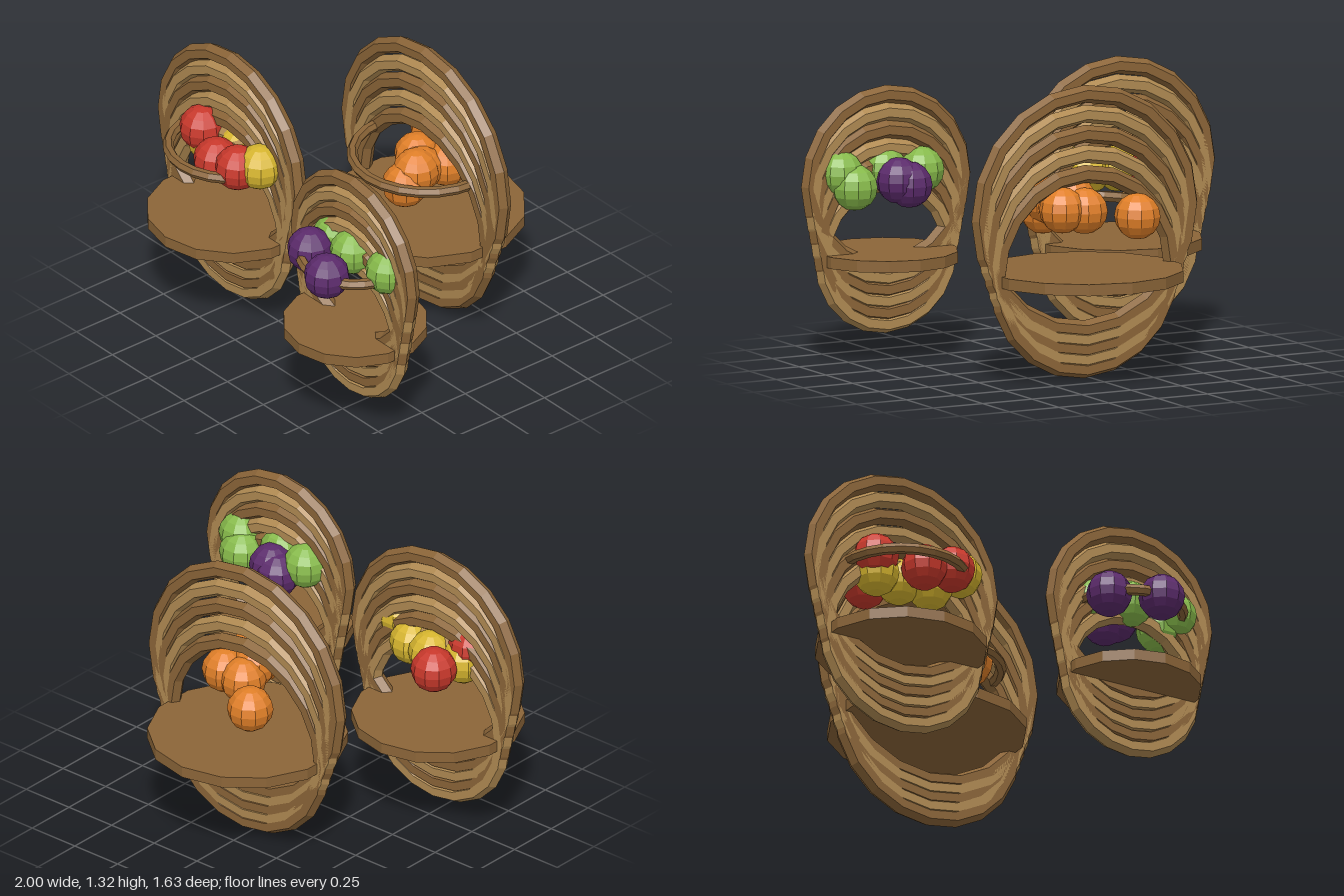
import * as THREE from 'three';

const mat = (name, color) => {
  const m = new THREE.MeshStandardMaterial({ color, flatShading: true });
  m.name = name;
  return m;
};

export function createModel() {
  const darkWicker = mat('dark wicker', 0x8b6538);
  const lightWicker = mat('light wicker', 0xb08a52);
  const red = mat('red fruit', 0xc8382b);
  const yellow = mat('yellow fruit', 0xd6b52e);
  const orange = mat('orange fruit', 0xe07f28);
  const purple = mat('purple fruit', 0x5b2a6b);
  const green = mat('green fruit', 0x86b94a);

  const model = new THREE.Group();
  model.name = 'fruitBaskets';
  const fruitGeometry = new THREE.SphereGeometry(0.104, 10, 8);

  function add(parent, name, geometry, material, x, y, z) {
    const mesh = new THREE.Mesh(geometry, material);
    mesh.name = name;
    mesh.position.set(x, y, z);
    parent.add(mesh);
    return mesh;
  }

  // One basket: disc base, upright hoops that grow as they rise, flat half-ring handle
  function basket({ name, x, z, base, rim, rimY, hoops, fruit }) {
    const group = new THREE.Group();
    group.name = name;
    model.add(group);

    add(group, 'base', new THREE.CylinderGeometry(base * 1.015, base * 1.015, 0.052, 14), darkWicker, x, 0.472, z);

    for (let i = 0; i < hoops; i++) {
      const t = i / (hoops - 1);
      const radius = THREE.MathUtils.lerp(base, rim, t);
      const y = THREE.MathUtils.lerp(0.482, rimY, t);
      const material = (hoops - 1 - i) % 2 ? lightWicker : darkWicker;
      add(group, 'hoop', new THREE.TorusGeometry(radius, 0.04, 6, 20), material, x, y, z);
    }

    const handle = add(group, 'handle', new THREE.TorusGeometry(base * 0.75, 0.025, 6, 12, Math.PI),
      darkWicker, x, rimY + 0.015, z);
    handle.rotation.x = Math.PI / 2;

    // Fruit positions are in model space
    for (const [material, places] of fruit) {
      for (const [fx, fy, fz] of places) add(group, 'fruit', fruitGeometry, material, fx, fy, fz);
    }
  }

  basket({
    name: 'backBasket', x: 0.03, z: -0.37, base: 0.44, rim: 0.53, rimY: 0.753, hoops: 5,
    fruit: [[orange, [
      [-0.14, 0.745, -0.55], [0.04, 0.76, -0.39], [0.15, 0.77, -0.385], [0.05, 0.8, -0.3],
      [0.12, 0.78, -0.26], [0.13, 0.735, -0.165], [0.14, 0.79, -0.22],
    ]]],
  });

  basket({
    name: 'rightBasket', x: -0.5, z: 0.31, base: 0.38, rim: 0.4575, rimY: 0.812, hoops: 6,
    fruit: [
      [red, [[-0.6, 0.81, 0.165], [-0.655, 0.865, 0.355], [-0.455, 0.825, 0.44], [-0.31, 0.85, 0.435]]],
      [yellow, [[-0.235, 0.865, 0.37], [-0.635, 0.8, 0.325], [-0.49, 0.81, 0.275], [-0.35, 0.8, 0.31]]],
    ],
  });

  basket({
    name: 'leftBasket', x: 0.57, z: 0.485, base: 0.32, rim: 0.3875, rimY: 0.812, hoops: 6,
    fruit: [
      [purple, [[0.62, 0.83, 0.69], [0.4, 0.83, 0.605], [0.505, 0.8, 0.385], [0.55, 0.82, 0.4]]],
      [green, [[0.8, 0.86, 0.485], [0.755, 0.8, 0.435], [0.405, 0.85, 0.46], [0.57, 0.86, 0.5]]],
    ],
  });

  return model;
}
